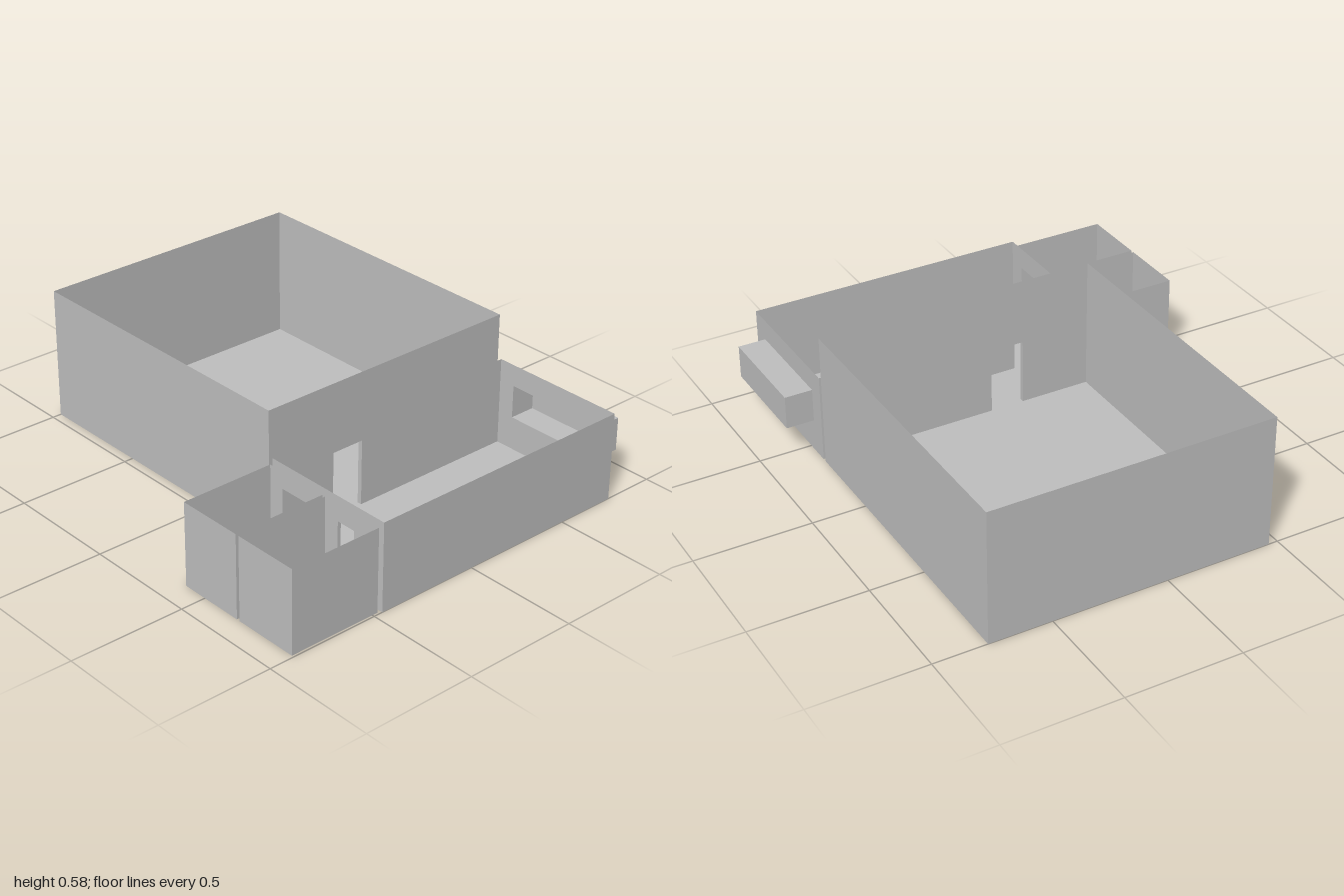
import * as THREE from 'three';

const plaster = new THREE.MeshStandardMaterial({ color: 0xbfbfbf, side: THREE.DoubleSide });
plaster.name = 'grey plaster';

const DOOR_H = 0.29, SILL_H = 0.145;

// Flat panel in the plane across one axis: a0..a1 by b0..b1, with holes and floor-level notches
function panel(parent, name, axis, at, [a0, a1, b0, b1], { doors = [], holes = [] } = {}) {
  const pts = [[a0, b0]];
  for (const [d0, d1] of doors) pts.push([d0, b0], [d0, DOOR_H], [d1, DOOR_H], [d1, b0]);
  pts.push([a1, b0], [a1, b1], [a0, b1]);
  const shape = new THREE.Shape(pts.map(p => new THREE.Vector2(...p)));
  for (const [x0, x1, y0, y1] of holes) {
    shape.holes.push(new THREE.Path(
      [[x0, y0], [x0, y1], [x1, y1], [x1, y0]].map(p => new THREE.Vector2(...p))));
  }
  const geo = new THREE.ShapeGeometry(shape);
  if (axis === 'x') geo.rotateY(-Math.PI / 2); // (a, b) = (z, y)
  if (axis === 'y') geo.rotateX(Math.PI / 2);  // (a, b) = (x, z)
  const mesh = new THREE.Mesh(geo, plaster);
  mesh.name = name;
  mesh.position[axis] = at;
  parent.add(mesh);
}

// Open-topped room made of a floor and four thin walls
function room(name, x0, x1, z0, z1, h, cuts = {}) {
  const g = new THREE.Group();
  g.name = name;
  panel(g, 'floor', 'y', 0, [x0, x1, z0, z1], cuts.floor);
  panel(g, 'frontWall', 'z', z1, [x0, x1, 0, h], cuts.front);
  panel(g, 'backWall', 'z', z0, [x0, x1, 0, h], cuts.back);
  panel(g, 'leftWall', 'x', x1, [z0, z1, 0, h], cuts.left);
  panel(g, 'rightWall', 'x', x0, [z0, z1, 0, h], cuts.right);
  return g;
}

// Short box passage joining two doorways; runs along x or z
function passage(name, along, x0, x1, z0, z1) {
  const g = new THREE.Group();
  g.name = name;
  panel(g, 'threshold', 'y', 0, [x0, x1, z0, z1]);
  panel(g, 'lintel', 'y', DOOR_H, [x0, x1, z0, z1]);
  const jambs = along === 'x' ? [z0, z1] : [x0, x1];
  const span = along === 'x' ? [x0, x1] : [z0, z1];
  for (const at of jambs) panel(g, 'jamb', along === 'x' ? 'z' : 'x', at, [...span, 0, DOOR_H]);
  return g;
}

export function createModel() {
  const model = new THREE.Group();
  model.name = 'floorPlan';

  const back = -0.77, front = 0.46;
  const sideDoor = [0, 0.15], doorA = [0.46, 0.61], doorB = [0.77, 0.92];
  const island = [0.615, 0.765, -0.45, 0.25];
  const bay = [0.46, 0.92, SILL_H, DOOR_H];

  // Rooms
  model.add(room('hall', -1, 0.365, back, front, 0.58, { left: { doors: [sideDoor] } }));
  model.add(room('kitchen', 0.385, 1, back, front, 0.385, {
    floor: { holes: [island] },
    front: { doors: [doorA, doorB] },
    back: { holes: [bay] },
    right: { doors: [sideDoor] },
  }));
  model.add(room('smallRoomRight', 0.39, 0.685, 0.475, 0.89, 0.365, { back: { doors: [doorA] } }));
  model.add(room('smallRoomLeft', 0.70, 0.99, 0.475, 0.89, 0.365, { back: { doors: [doorB] } }));

  // Doorway passages
  model.add(passage('sidePassage', 'x', 0.365, 0.385, ...sideDoor));
  for (const d of [doorA, doorB]) model.add(passage('frontPassage', 'z', ...d, front, 0.475));

  // Island rising from the floor, hollow underneath
  const counter = new THREE.Group();
  counter.name = 'island';
  const [ix0, ix1, iz0, iz1] = island;
  panel(counter, 'islandTop', 'y', SILL_H, island);
  for (const x of [ix0, ix1]) panel(counter, 'islandSide', 'x', x, [iz0, iz1, 0, SILL_H]);
  for (const z of [iz0, iz1]) panel(counter, 'islandEnd', 'z', z, [ix0, ix1, 0, SILL_H]);
  model.add(counter);

  // Recessed bay projecting from the back wall
  const recess = new THREE.Group();
  recess.name = 'backBay';
  const out = -0.89;
  panel(recess, 'bayBack', 'z', out, bay);
  for (const y of [SILL_H, DOOR_H]) panel(recess, 'bayShelf', 'y', y, [bay[0], bay[1], out, back]);
  for (const x of [bay[0], bay[1]]) panel(recess, 'bayEnd', 'x', x, [out, back, SILL_H, DOOR_H]);
  model.add(recess);

  return model;
}
